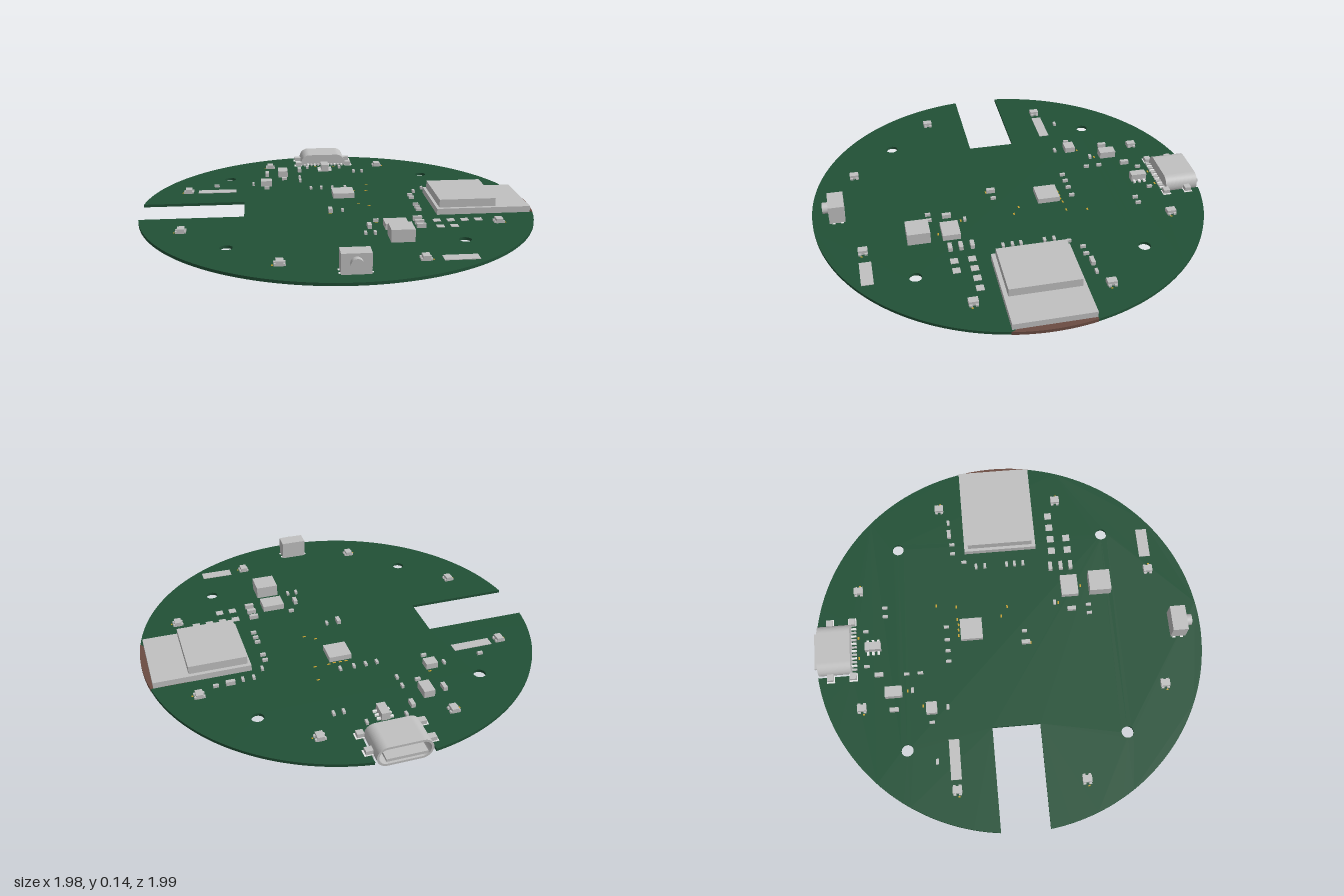
import * as THREE from 'three';

const R = 0.995, BOTTOM = 0.032, TOP = 0.046;
const mat = (name, color, side = THREE.FrontSide) => {
  const m = new THREE.MeshStandardMaterial({ color, side });
  m.name = name;
  return m;
};

export function createModel() {
  const green = mat('board green', 0x215036);
  const grey = mat('component grey', 0xc0c0c0);
  const brown = mat('bare substrate brown', 0x6b4c42);
  const gold = mat('trace gold', 0xc8a030);
  const white = mat('solder white', 0xe6e6e6);
  const root = new THREE.Group();
  root.name = 'circuitBoard';

  const add = (name, geo, material, parent = root) => {
    const m = new THREE.Mesh(geo, material);
    m.name = name;
    parent.add(m);
    return m;
  };
  // Box centred on x, z, spanning y0..y1
  const block = (name, x, z, w, d, y1, material = grey, y0 = TOP, parent = root) => {
    const m = add(name, new THREE.BoxGeometry(w, y1 - y0, d), material, parent);
    m.position.set(x, (y0 + y1) / 2, z);
    return m;
  };
  // Plan shape (drawn with y = -z) raised from y0 to y1
  const slab = (name, shape, y0, y1, material) => {
    const g = new THREE.ExtrudeGeometry(shape, { depth: y1 - y0, bevelEnabled: false, curveSegments: 64 });
    g.rotateX(-Math.PI / 2);
    g.translate(0, y0, 0);
    return add(name, g, material);
  };

  // Round board with side slot, connector cutout and four screw holes
  const a = Math.acos(0.14 / R);
  const board = new THREE.Shape();
  board.absarc(0, 0, R, Math.PI - a, Math.PI - Math.asin(0.123 / R), false);
  board.lineTo(-0.47, 0.123);
  board.lineTo(-0.47, -0.117);
  board.absarc(0, 0, R, Math.PI + Math.asin(0.117 / R), 2 * Math.PI + a, false);
  board.lineTo(0.14, 0.81);
  board.lineTo(-0.14, 0.81);
  board.closePath();
  for (const x of [-0.55, 0.545]) for (const y of [-0.545, 0.55]) {
    const hole = new THREE.Path();
    hole.absarc(x, y, 0.03, 0, Math.PI * 2, true);
    board.holes.push(hole);
  }
  slab('board', board, BOTTOM, TOP, green);

  // Bare antenna area at the board edge
  const bare = new THREE.Shape();
  const r2 = R + 0.001;
  bare.moveTo(0.79, -0.19);
  bare.absarc(0, 0, r2, -Math.asin(0.19 / r2), Math.asin(0.195 / r2), false);
  bare.lineTo(0.79, 0.195);
  bare.closePath();
  slab('antennaKeepout', bare, BOTTOM - 0.001, TOP + 0.001, brown);

  // Radio module with shield can
  const radio = new THREE.Group();
  radio.name = 'radioModule';
  root.add(radio);
  block('moduleBase', 0.727, -0.005, 0.475, 0.38, 0.077, grey, TOP, radio);
  block('shieldCan', 0.648, -0.005, 0.286, 0.34, 0.118, grey, 0.077, radio);

  // Socket at the back: hollow pill shell, rear wall, tongue and mounting tabs
  const socket = new THREE.Group();
  socket.name = 'socket';
  root.add(socket);
  const pill = (path, r) => {
    const c = 0.131 - 0.051;
    path.absarc(c, 0, r, -Math.PI / 2, Math.PI / 2, false);
    path.absarc(-c, 0, r, Math.PI / 2, Math.PI * 1.5, false);
    path.closePath();
    return path;
  };
  const shellShape = pill(new THREE.Shape(), 0.051);
  shellShape.holes.push(pill(new THREE.Path(), 0.04));
  const ext = (s, depth) => new THREE.ExtrudeGeometry(s, { depth, bevelEnabled: false, curveSegments: 16 });
  add('shell', ext(shellShape, 0.168), grey, socket).position.set(0, 0.056, -0.98);
  add('rearWall', ext(pill(new THREE.Shape(), 0.045), 0.02), grey, socket).position.set(0, 0.056, -0.832);
  block('tongue', 0, -0.91, 0.19, 0.18, 0.062, grey, 0.048, socket);
  for (const s of [-1, 1]) for (const z of [-0.92, -0.805]) {
    block('mountingTab', s * 0.147, z, 0.034, 0.032, 0.068, grey, 0.02, socket);
    block('tabSolder', s * 0.15, z, 0.044, 0.042, TOP + 0.002, white, TOP, socket);
  }
  for (let i = 0; i < 12; i++) {
    block('contact', -0.11 + i * 0.02, -0.8, 0.01, 0.03, 0.055, i % 2 ? white : grey, TOP, socket);
  }

  // Push button at the front edge
  block('buttonBody', -0.003, 0.872, 0.132, 0.078, 0.14);
  const knob = add('buttonKnob', new THREE.CylinderGeometry(0.028, 0.028, 0.03, 32), grey);
  knob.rotation.x = Math.PI / 2;
  knob.position.set(-0.003, 0.098, 0.925);
  for (const s of [-1, 1]) for (const z of [0.85, 0.89]) {
    block('buttonPad', s * 0.068 - 0.003, z, 0.012, 0.015, TOP + 0.002, white);
  }

  // Eight indicator lights around the rim
  for (const sx of [-1, 1]) for (const sz of [-1, 1]) {
    for (const [u, v] of [[0.318, 0.767], [0.767, 0.317]]) {
      const x = sx * u, z = sz * v;
      block('indicatorLight', x, z, 0.034, 0.046, 0.068);
      for (const px of [-1, 1]) for (const pz of [-1, 1]) {
        block('lightLead', x + px * 0.021, z + pz * 0.014, 0.01, 0.014, 0.056);
      }
      block('lightTrace', x + sx * 0.032, z + 0.008, 0.007, 0.01, TOP + 0.001, gold);
    }
  }

  // Chips: x, z, width, depth, top
  const chips = [
    [0.055, -0.19, 0.113, 0.113, 0.073], [0.255, 0.498, 0.112, 0.112, 0.107],
    [0.255, 0.34, 0.112, 0.088, 0.076], [-0.25, -0.605, 0.054, 0.085, 0.082],
    [-0.348, -0.418, 0.06, 0.054, 0.076], [0, -0.7, 0.042, 0.08, 0.085],
  ];
  for (const [x, z, w, d, y] of chips) block('chip', x, z, w, d, y);
  for (const s of [-1, 1]) for (let i = -1; i <= 1; i++) {
    block('chipPin', s * 0.03, -0.7 + i * 0.027, 0.02, 0.012, 0.056, white);
  }
  block('undersideChip', -0.02, 0.085, 0.11, 0.068, BOTTOM, grey, 0.005);

  // Small passives lying along z (tall) or x (wide): x, z
  const tall = [
    [-0.157, -0.535], [-0.157, -0.465], [-0.42, -0.42], [-0.107, -0.318], [-0.05, -0.318],
    [0.01, -0.318], [0.08, -0.318], [-0.1, -0.735], [0.09, -0.735], [0.165, -0.632],
    [0.213, -0.632], [0.495, -0.26], [0.548, -0.26], [0.44, -0.203], [0.097, 0.43],
    [0.143, 0.43], [0.025, 0.083],
  ];
  const wide = [
    [-0.245, -0.51], [-0.347, -0.337], [-0.62, -0.405], [0.68, -0.272], [0.17, 0.255],
    [0.41, -0.14], [0.41, -0.093], [0.41, 0.023], [0.41, 0.065], [0.41, 0.11],
  ];
  for (const [x, z] of tall) block('smallPassive', x, z, 0.013, 0.027, 0.06);
  for (const [x, z] of wide) block('smallPassive', x, z, 0.027, 0.014, 0.06);
  const bigTall = [[-0.15, -0.675], [-0.34, -0.605], [0.127, 0.34], [-0.037, 0.085]];
  const bigWide = [[0.61, -0.272], [0.376, 0.253], [0.376, 0.308], [0.376, 0.36]];
  for (const [x, z] of bigTall) block('passive', x, z, 0.02, 0.044, 0.067);
  for (const [x, z] of bigWide) block('passive', x, z, 0.045, 0.02, 0.067);

  // Flat contact pads
  block('padStrip', -0.615, -0.318, 0.202, 0.052, TOP + 0.003);
  block('padStrip', 0.475, 0.763, 0.16, 0.058, TOP + 0.003);
  for (let i = 0; i < 4; i++) block('testPad', 0.47 + i * 0.069, 0.27, 0.037, 0.037, TOP + 0.003);
  for (let i = 0; i < 2; i++) block('testPad', 0.47 + i * 0.069, 0.355, 0.037, 0.037, TOP + 0.003);

  // Exposed gold traces
  const traces = [
    [0.205, -0.365], [0.19, -0.26], [0.12, -0.26], [0.09, -0.255], [0.06, -0.257], [0.03, -0.257],
    [0.12, -0.03], [-0.245, -0.535], [-0.33, -0.46], [0.255, 0.4], [-0.04, 0.11],
    [-0.05, -0.775], [0.06, -0.775], [0.17, 0.005], [0.17, 0.275],
  ];
  for (const [x, z] of traces) block('trace', x, z, 0.016, 0.008, TOP + 0.001, gold);
  return root;
}
